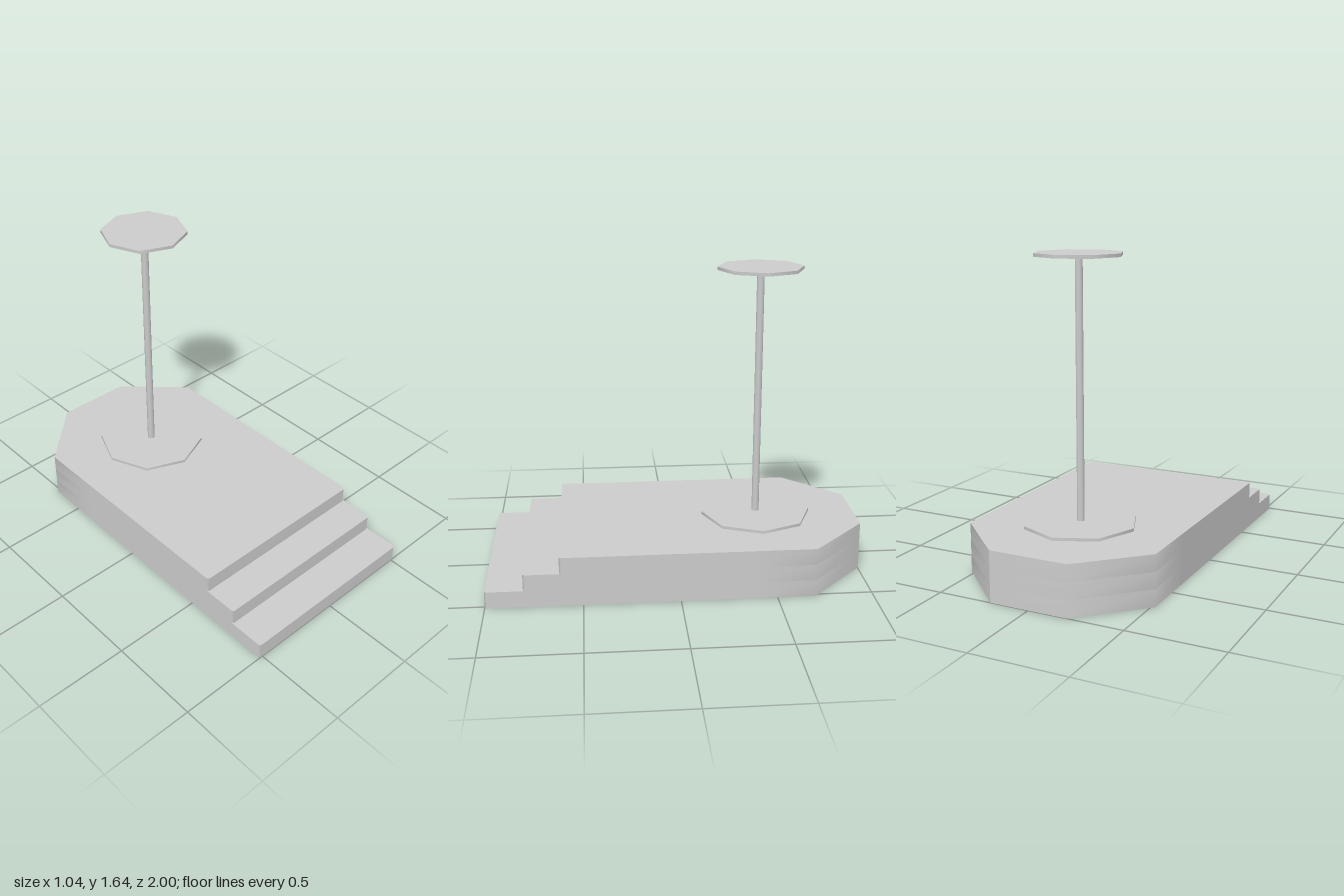
import * as THREE from 'three';

const material = new THREE.MeshStandardMaterial({ color: 0xcccccc });
const shellMaterial = new THREE.MeshStandardMaterial({ color: 0xcccccc, side: THREE.DoubleSide });

const W = 0.52;      // half width of the platform
const R = 0.01;      // softened front corners

// Plan outline [x, z] from one back corner all the way round to it again
function outline(front) {
  return [
    [0.21, -1], [-0.21, -1], [-W, -0.7], [-W, -0.37], [-W, front - R], [-W + R, front],
    [W - R, front], [W, front - R], [W, -0.37], [W, -0.7], [0.21, -1],
  ];
}

// Upright wall following the outline, smooth around its corners
function wallGeometry(points, y0, y1) {
  const positions = [], index = [];
  points.forEach(([x, z], i) => {
    positions.push(x, y0, z, x, y1, z);
    if (i < points.length - 1) {
      const a = 2 * i;
      index.push(a, a + 2, a + 3, a, a + 3, a + 1);
    }
  });
  const g = new THREE.BufferGeometry();
  g.setAttribute('position', new THREE.Float32BufferAttribute(positions, 3));
  g.setIndex(index);
  g.computeVertexNormals();
  return g;
}

// Flat horizontal surface facing up
function flatGeometry(points, y) {
  const shape = new THREE.Shape(points.map(([x, z]) => new THREE.Vector2(x, -z)));
  return new THREE.ShapeGeometry(shape).rotateX(-Math.PI / 2).translate(0, y, 0);
}

export function createModel() {
  const model = new THREE.Group();
  const add = (name, geometry, mat, parent = model) => {
    const mesh = new THREE.Mesh(geometry, mat);
    mesh.name = name;
    parent.add(mesh);
    return mesh;
  };

  // Hollow platform, open below, with two steps in front of the deck
  const platform = new THREE.Group();
  platform.name = 'platform';
  model.add(platform);
  const heights = [0, 0.09, 0.177, 0.265];
  const fronts = [1, 0.805, 0.62];
  fronts.forEach((front, i) => {
    const points = outline(front);
    add(`wall${i + 1}`, wallGeometry(points, heights[i], heights[i + 1]), shellMaterial, platform);
    const isDeck = i === fronts.length - 1;
    const back = isDeck ? 0 : fronts[i + 1] - R;
    const surface = isDeck
      ? points.slice(0, -1)
      : [[-W, back], ...points.slice(4, 8), [W, back]];
    add(isDeck ? 'deck' : `tread${i + 1}`, flatGeometry(surface, heights[i + 1]), shellMaterial, platform);
  });

  // Pole table: octagonal foot, thin pole and octagonal top
  const table = new THREE.Group();
  table.name = 'poleTable';
  table.position.set(0.01, 0, -0.456);
  model.add(table);
  const column = (name, radius, y0, y1) => {
    const g = new THREE.CylinderGeometry(radius, radius, y1 - y0, 8);
    add(name, g, material, table).position.y = (y0 + y1) / 2;
  };
  column('foot', 0.298, 0.264, 0.281);
  column('pole', 0.02, 0.264, 1.625);
  column('tableTop', 0.227, 1.62, 1.637);

  return model;
}
